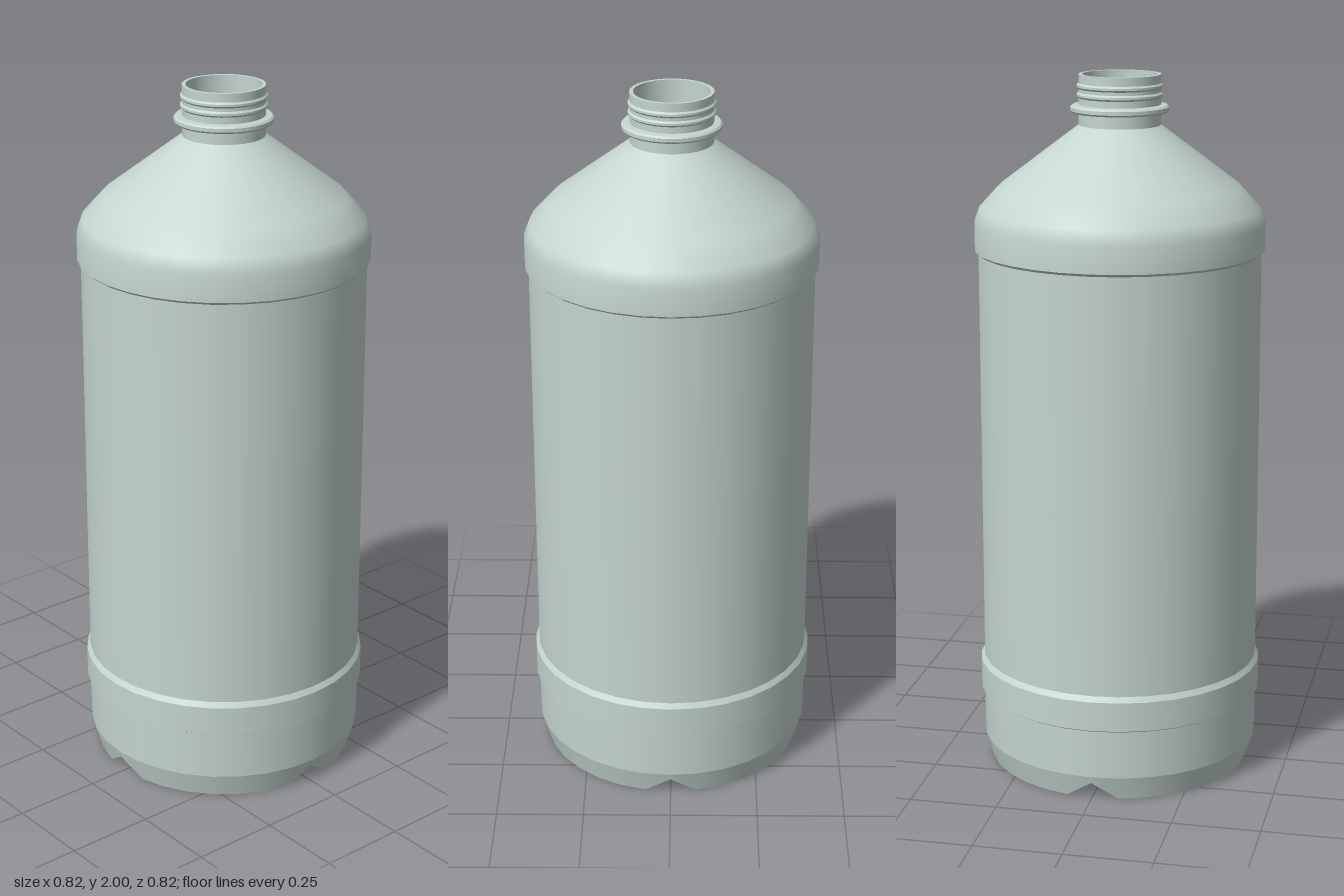
import * as THREE from 'three';
import { mergeGeometries } from 'three/addons/utils/BufferGeometryUtils.js';

const SIDES = 32;

export function createModel() {
  const bottle = new THREE.Group();
  bottle.name = 'bottle';
  const plastic = new THREE.MeshStandardMaterial({ color: 0xc5d5cf, side: THREE.DoubleSide });
  const flatPlastic = plastic.clone();
  flatPlastic.flatShading = true;

  const add = (name, geometry, material = plastic) => {
    const mesh = new THREE.Mesh(geometry, material);
    mesh.name = name;
    bottle.add(mesh);
  };
  const lathe = (points) => new THREE.LatheGeometry(points.map(([r, y]) => new THREE.Vector2(r, y)), SIDES);
  // Round about the axis, with a sharp edge at every profile point
  const crispLathe = (points) =>
    mergeGeometries(points.slice(1).map((p, i) => lathe([points[i], p])));

  // Raise the rim where the two crossing grooves leave the base
  const NOTCH = 0.05, FOOT_R = 0.38, NOTCH_R = 0.394;
  const notch = (geometry) => {
    const p = geometry.attributes.position;
    for (let i = 0; i < p.count; i++) {
      const x = p.getX(i), z = p.getZ(i);
      if (p.getY(i) > 0.001 || Math.min(Math.abs(x), Math.abs(z)) > 0.001) continue;
      const s = Math.hypot(x, z) > 0.1 ? NOTCH_R / FOOT_R : 1;
      p.setXYZ(i, x * s, NOTCH, z * s);
    }
    geometry.computeVertexNormals();
    return geometry;
  };

  // Base: four feet between grooves that meet at a raised centre
  const floor = new THREE.CircleGeometry(FOOT_R, SIDES);
  floor.rotateX(Math.PI / 2);
  add('baseFloor', notch(floor), flatPlastic);
  add('baseFeet', notch(lathe([[FOOT_R, 0], [0.4, 0.07]])));
  add('lowerWall', lathe([[0.4, 0.07], [0.402, 0.21]]));

  // Raised band, body and shoulder
  add('band', crispLathe([[0.402, 0.21], [0.41, 0.215], [0.41, 0.3], [0.4, 0.315]]));
  add('body', lathe([[0.4, 0.315], [0.4, 1.505]]));
  add('shoulderStep', lathe([[0.4, 1.505], [0.41, 1.513]]));
  add('shoulder', lathe([[0.41, 1.513], [0.41, 1.59], [0.395, 1.63], [0.34, 1.69], [0.115, 1.86]]));

  // Neck with its collar, open mouth and inner wall
  add('neck', crispLathe([
    [0.115, 1.86], [0.115, 1.893], [0.133, 1.895], [0.138, 1.9], [0.138, 1.91],
    [0.133, 1.915], [0.115, 1.917], [0.115, 2], [0.105, 2], [0.105, 1.86],
  ]));

  // Thread ridges
  for (const y of [1.943, 1.968]) {
    add('threadRidge', crispLathe([[0.115, y - 0.008], [0.12, y - 0.003], [0.12, y + 0.003], [0.115, y + 0.008]]));
  }
  return bottle;
}
